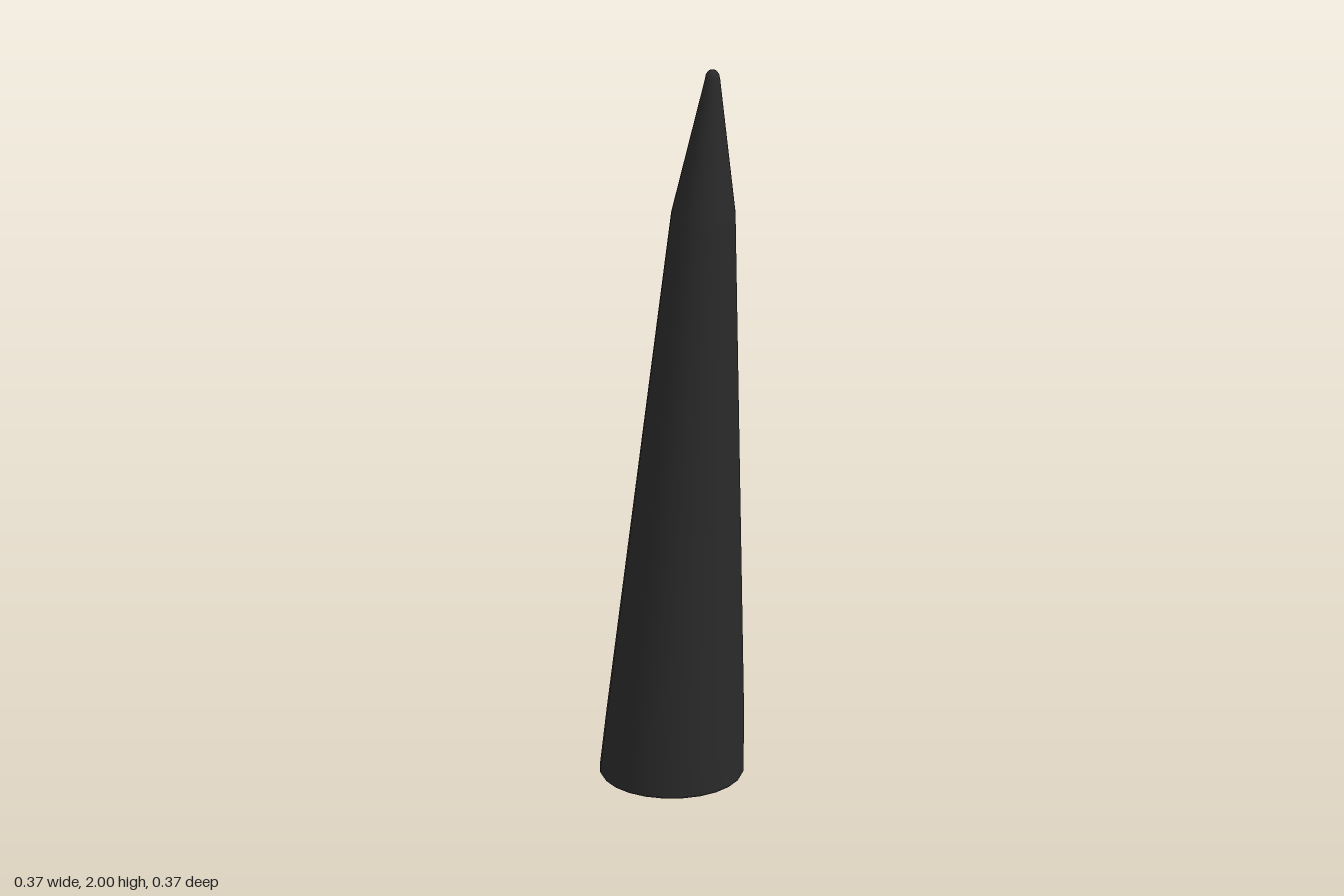
import * as THREE from 'three';
import { mergeVertices } from 'three/addons/utils/BufferGeometryUtils.js';

const SIDES = 24;

// Cross-sections: [radius, height, forward shift of the centre]
const bodyRings = [[0.185, 0.006, 0], [0.177, 0.17, 0.012], [0.083, 1.59, 0.101]];
const noseRings = [[0.083, 1.59, 0.101], [0.02, 1.972, 0.13], [0.017, 1.988, 0.13], [0.01, 1.997, 0.13], [0, 2, 0.13]];
const baseRings = [[0, 0, 0], [0.182, 0, 0]];
const rimRings = [[0.182, 0, 0], [0.185, 0.006, 0]];

// Radius and centre shift at any height
function sectionAt(rings, y) {
  let i = 0;
  while (i < rings.length - 2 && y > rings[i + 1][1]) i++;
  const [r0, y0, z0] = rings[i];
  const [r1, y1, z1] = rings[i + 1];
  const t = y1 === y0 ? 0 : (y - y0) / (y1 - y0);
  return { radius: r0 + (r1 - r0) * t, shift: z0 + (z1 - z0) * t };
}

// Lathe whose rings slide forward with height, with smooth sides
function leaningLathe(rings) {
  const points = rings.map(([r, y]) => new THREE.Vector2(r, y));
  let geometry = new THREE.LatheGeometry(points, SIDES);
  const p = geometry.attributes.position;
  for (let i = 0; i < p.count; i++) {
    p.setZ(i, p.getZ(i) + rings[i % rings.length][2]);
  }
  geometry.deleteAttribute('uv');
  geometry.deleteAttribute('normal');
  geometry = mergeVertices(geometry, 1e-5);
  geometry.computeVertexNormals();
  return geometry;
}

// Thin rail that follows the sloping back of the body
function railGeometry(angle, bottom, top, width, height) {
  const geometry = new THREE.BoxGeometry(1, 1, 1, 1, 8, 1);
  const p = geometry.attributes.position;
  const out = new THREE.Vector2(Math.sin(angle), -Math.cos(angle));
  for (let i = 0; i < p.count; i++) {
    const y = bottom + (p.getY(i) + 0.5) * (top - bottom);
    const { radius, shift } = sectionAt(bodyRings, y);
    const d = radius + (p.getZ(i) > 0 ? height : -0.01);
    const side = p.getX(i) * width;
    p.setXYZ(i, out.x * d + out.y * side, y, shift + out.y * d - out.x * side);
  }
  geometry.computeVertexNormals();
  return geometry;
}

export function createModel() {
  const group = new THREE.Group();
  const charcoal = new THREE.MeshStandardMaterial({ color: 0x2a2a2a });
  charcoal.name = 'charcoal';

  const add = (name, geometry) => {
    const mesh = new THREE.Mesh(geometry, charcoal);
    mesh.name = name;
    group.add(mesh);
  };

  add('base', leaningLathe(baseRings));
  add('baseRim', leaningLathe(rimRings));
  add('body', leaningLathe(bodyRings));
  add('noseCone', leaningLathe(noseRings));
  add('backRail', railGeometry(THREE.MathUtils.degToRad(23), 0.095, 0.705, 0.024, 0.01));
  return group;
}
